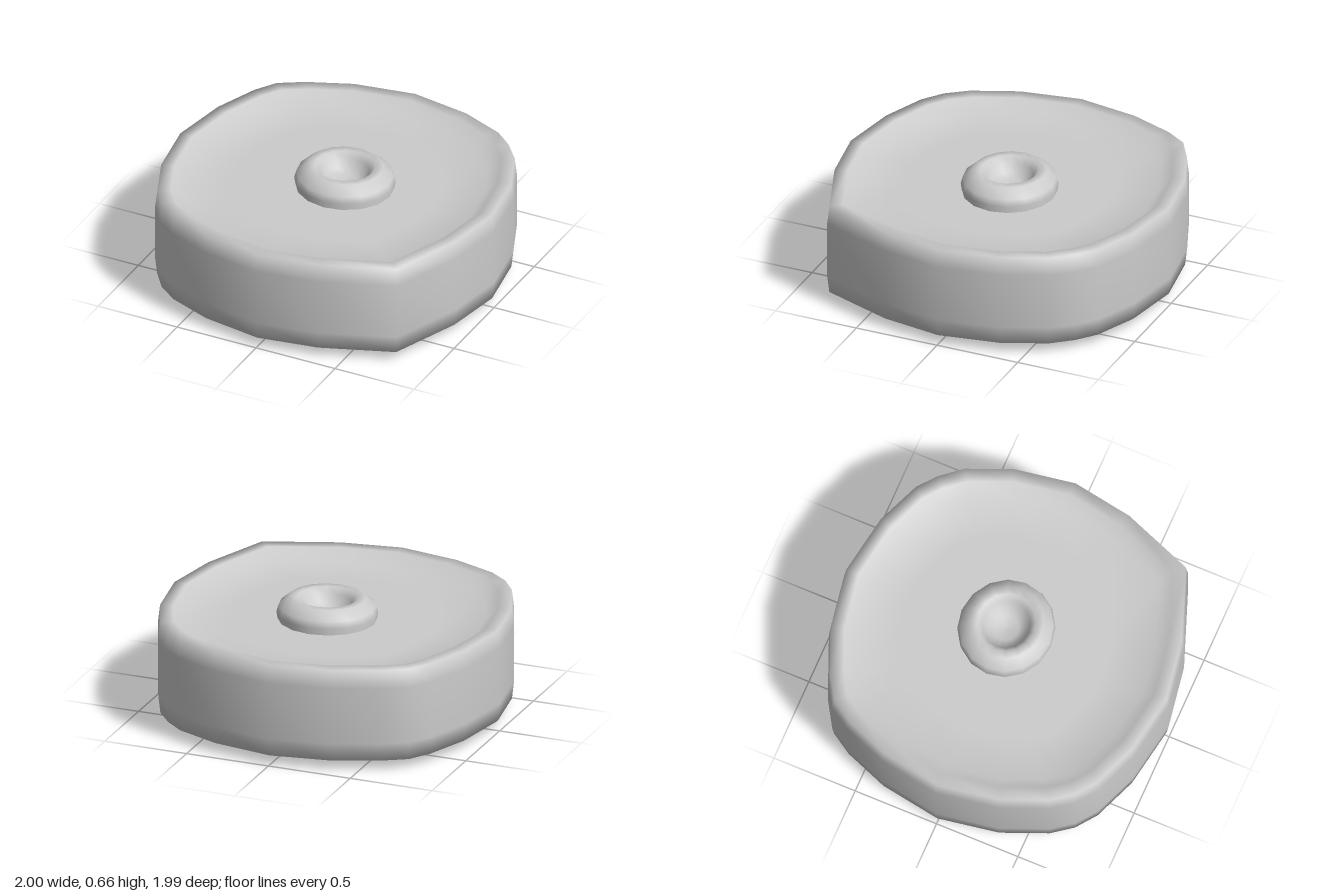
import * as THREE from 'three';

const grey = new THREE.MeshStandardMaterial({ color: 0xcccccc });

// Closed smooth body: an [x, z] outline repeated at every [scale, y] of a profile, bottom to top
function loft(name, outline, profile) {
  const n = outline.length, positions = [], index = [];
  for (const [s, y] of profile)
    for (const [x, z] of outline) positions.push(x * s, y, z * s);
  for (let r = 0; r < profile.length - 1; r++) {
    for (let i = 0; i < n; i++) {
      const a = r * n + i, b = r * n + (i + 1) % n;
      index.push(a, a + n, b + n, a, b + n, b);
    }
  }
  const geometry = new THREE.BufferGeometry();
  geometry.setAttribute('position', new THREE.Float32BufferAttribute(positions, 3));
  geometry.setIndex(index);
  geometry.computeVertexNormals();
  const mesh = new THREE.Mesh(geometry, grey);
  mesh.name = name;
  return mesh;
}

// Half profile (middle to end centre) turned over to run from the bottom centre up to the middle
const MID = 0.332;
const flipped = (half) => half.map(([s, y]) => [s, 2 * MID - y]).reverse();

export function createModel() {
  const group = new THREE.Group();
  group.name = 'wheel';

  // Worn, squarish tyre outline, running from +x towards +z
  const tyreOutline = [
    [1, 0], [0.94, 0.36], [0.78, 0.78], [0.36, 0.937],
    [0, 0.997], [-0.36, 0.937], [-0.62, 0.835], [-0.74, 0.745], [-0.83, 0.625], [-0.94, 0.36],
    [-1, 0], [-0.94, -0.36], [-0.84, -0.62], [-0.76, -0.745], [-0.62, -0.83], [-0.36, -0.937],
    [0, -0.997], [0.36, -0.937], [0.62, -0.83], [0.73, -0.74], [0.83, -0.62], [0.94, -0.36],
  ];
  // Tread, rim lip, sloping inner wall and shallow recessed side face
  const tyreHalf = [
    [1, 0.5], [0.988, 0.605], [0.912, 0.605], [0.84, 0.537], [0.6, 0.535], [0, 0.535],
  ];
  group.add(loft('tyre', tyreOutline, [...flipped(tyreHalf), ...tyreHalf]));

  // Rounded hub with a dimple on both ends; the lower end is a little boxier
  const SIDES = 16;
  const hubOutline = Array.from({ length: SIDES }, (_, i) => {
    const t = (i / SIDES) * Math.PI * 2;
    return [0.29 * Math.cos(t), 0.275 * Math.sin(t)];
  });
  const dimple = [
    [0.76, 0.664], [0.6, 0.664], [0.49, 0.63], [0.4, 0.585], [0.25, 0.565], [0, 0.56],
  ];
  const hub = loft('hub', hubOutline, [
    ...flipped([[0.97, 0.52], [1, 0.585], [0.97, 0.635], ...dimple]),
    [0.97, 0.52], [1, 0.575], [0.96, 0.615], ...dimple,
  ]);
  hub.position.set(0.045, 0, -0.02);
  group.add(hub);

  return group;
}
